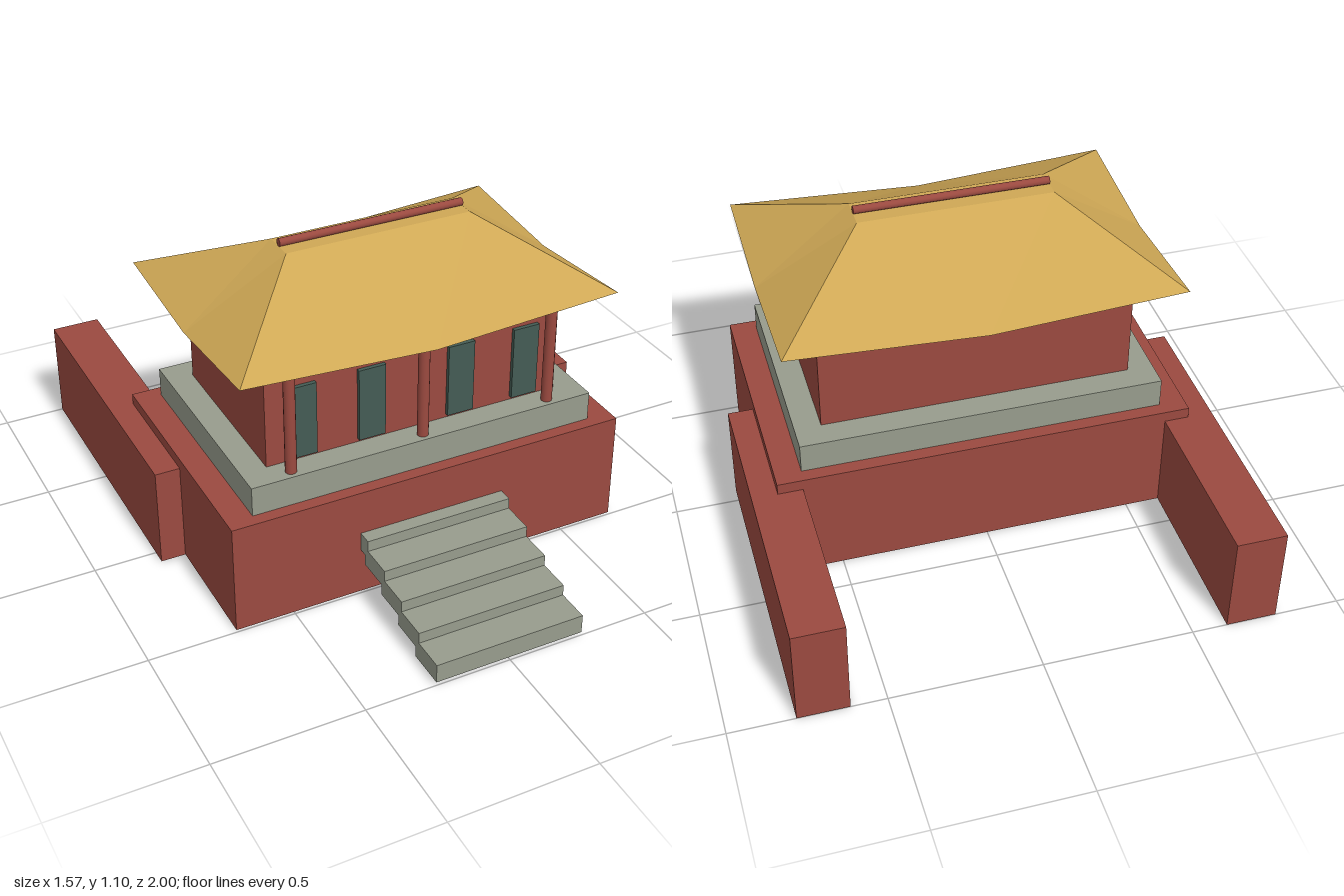
import * as THREE from 'three';

const material = (name, color) => {
  const m = new THREE.MeshStandardMaterial({ color });
  m.name = name;
  return m;
};

export function createModel() {
  const group = new THREE.Group();
  const red = material('red wall', 0x9b4a40);
  const stone = material('pale stone', 0x979c8d);
  const gold = material('gold roof', 0xcfa855);
  const green = material('dark green', 0x445c54);
  gold.side = THREE.DoubleSide;

  const add = (name, geometry, mat) => {
    const mesh = new THREE.Mesh(geometry, mat);
    mesh.name = name;
    group.add(mesh);
    return mesh;
  };
  // Box given by its limits on each axis
  const box = (name, mat, [x0, x1], [y0, y1], [z0, z1]) =>
    add(name, new THREE.BoxGeometry(x1 - x0, y1 - y0, z1 - z0), mat)
      .position.set((x0 + x1) / 2, (y0 + y1) / 2, (z0 + z1) / 2);

  // Gate base with two rear wing walls, terrace and hall
  box('base', red, [-0.7, 0.7], [0, 0.388], [-0.385, 0.49]);
  box('leftWing', red, [0.617, 0.785], [0, 0.35], [-1, 0.053]);
  box('rightWing', red, [-0.785, -0.617], [0, 0.35], [-1, 0.053]);
  box('terrace', stone, [-0.612, 0.612], [0.388, 0.49], [-0.34, 0.447]);
  box('hall', red, [-0.524, 0.524], [0.49, 0.843], [-0.253, 0.36]);

  // Front doors
  for (const x of [-0.4, -0.16, 0.16, 0.4])
    box('door', green, [x - 0.047, x + 0.047], [0.503, 0.76], [0.355, 0.374]);

  // Porch columns
  for (const x of [-0.464, 0, 0.464])
    add('column', new THREE.CylinderGeometry(0.019, 0.019, 0.353, 16), red)
      .position.set(x, 0.6665, 0.414);

  // Overlapping floating stair slabs
  for (let i = 0; i < 5; i++) {
    const y = 0.012 + i * 0.0385, z = 1 - i * 0.115;
    box('step', stone, [-0.26, 0.26], [y, y + 0.066], [z - 0.135, z]);
  }

  // Hipped roof: open sheet with raised corners, each side a fan from its low eave middle
  const zc = 0.052, ex = 0.657, ez = 0.446, rx = 0.327, rz = 0.057;
  const corners = [[1, 1], [1, -1], [-1, -1], [-1, 1]];
  const eave = corners.map(([x, z]) => [x * ex, 0.885, zc + z * ez]);
  const top = corners.map(([x, z]) => [x * rx, 1.075, zc + z * rz]);
  const points = [];
  const tri = (...p) => points.push(...p.flat());
  for (let i = 0; i < 4; i++) {
    const j = (i + 1) % 4;
    const mid = [(eave[i][0] + eave[j][0]) / 2, 0.848, (eave[i][2] + eave[j][2]) / 2];
    tri(eave[i], mid, top[i]);
    tri(mid, top[j], top[i]);
    tri(mid, eave[j], top[j]);
  }
  tri(top[0], top[1], top[2]);
  tri(top[0], top[2], top[3]);
  const roof = new THREE.BufferGeometry();
  roof.setAttribute('position', new THREE.Float32BufferAttribute(points, 3));
  roof.computeVertexNormals();
  add('roof', roof, gold);

  // Ridge pole
  const ridge = add('ridgePole', new THREE.CylinderGeometry(0.0135, 0.0135, 0.654, 12), red);
  ridge.rotation.z = Math.PI / 2;
  ridge.position.set(0, 1.087, zc);

  return group;
}
